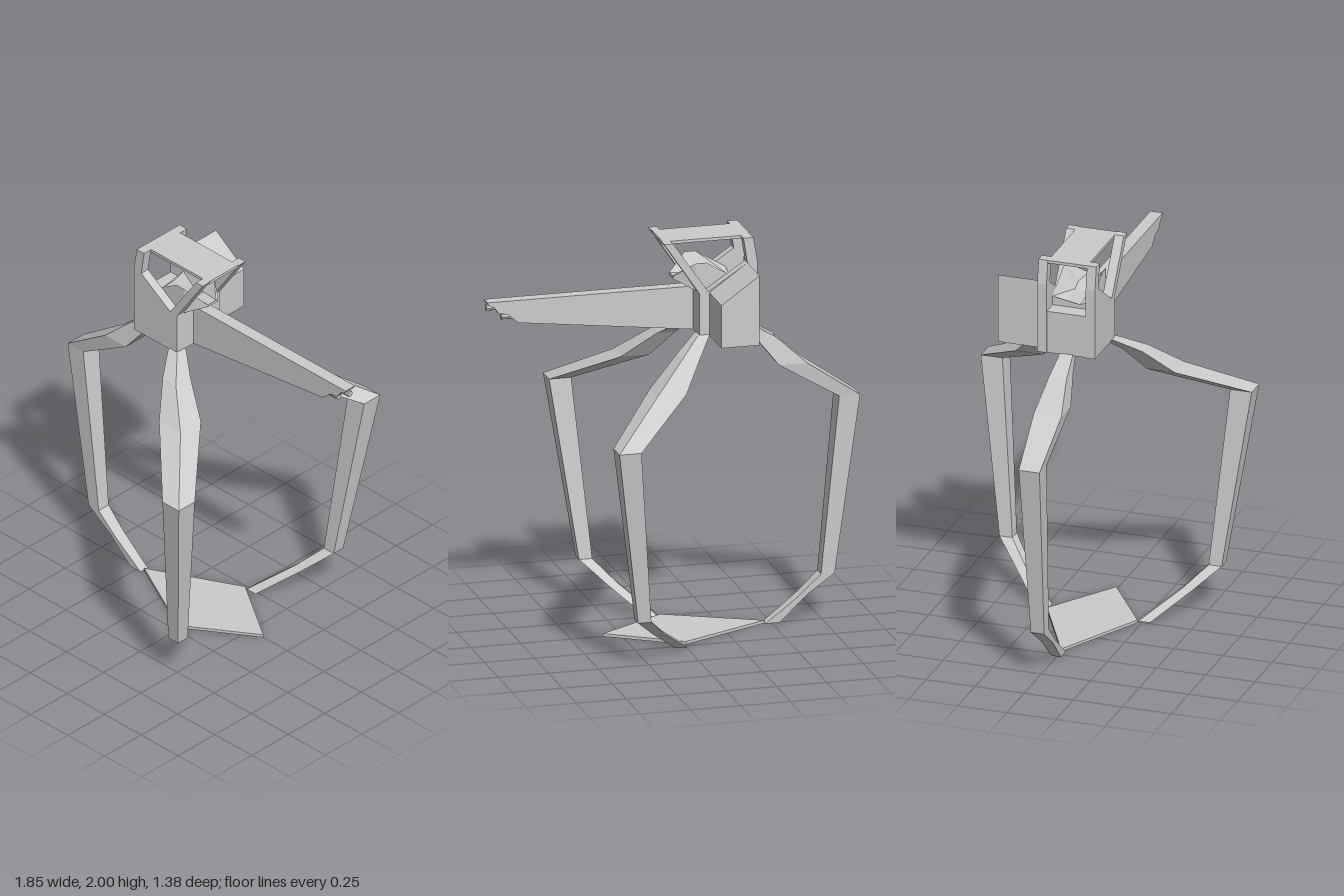
import * as THREE from 'three';

const mat = new THREE.MeshStandardMaterial({ color: 0xcccccc, flatShading: true, side: THREE.DoubleSide });

function add(parent, name, geometry, x = 0, y = 0, z = 0) {
  const mesh = new THREE.Mesh(geometry, mat);
  mesh.name = name;
  mesh.position.set(x, y, z);
  parent.add(mesh);
  return mesh;
}

// Box from its lower and upper corners
function block(parent, name, [x0, y0, z0], [x1, y1, z1]) {
  return add(parent, name, new THREE.BoxGeometry(x1 - x0, y1 - y0, z1 - z0),
    (x0 + x1) / 2, (y0 + y1) / 2, (z0 + z1) / 2);
}

// Outline in x, y pushed along z
function slab(points, z0, z1) {
  const shape = new THREE.Shape(points.map(([x, y]) => new THREE.Vector2(x, y)));
  return new THREE.ExtrudeGeometry(shape, { depth: z1 - z0, bevelEnabled: false }).translate(0, 0, z0);
}

// Capped skin through rings of corners
function loft(rings) {
  const n = rings[0].length, last = (rings.length - 1) * n, index = [];
  for (let i = 0; i < rings.length - 1; i++) {
    for (let k = 0; k < n; k++) {
      const a = i * n + k, b = i * n + (k + 1) % n;
      index.push(a, b, b + n, a, b + n, a + n);
    }
  }
  for (let k = 1; k < n - 1; k++) {
    index.push(0, k + 1, k, last, last + k, last + k + 1);
  }
  const g = new THREE.BufferGeometry();
  g.setAttribute('position', new THREE.Float32BufferAttribute(rings.flat(2), 3));
  g.setIndex(index);
  const flat = g.toNonIndexed();
  flat.computeVertexNormals();
  return flat;
}

// Leg through level rectangular sections: [x, y, z, halfX, halfZ], bottom to top
function leg(sections) {
  return loft(sections.map(([x, y, z, hx, hz]) => [
    [x + hx, y, z + hz], [x + hx, y, z - hz], [x - hx, y, z - hz], [x - hx, y, z + hz],
  ]));
}

export function createModel() {
  const model = new THREE.Group();
  model.name = 'tripodWalker';

  // Cab: body, open side frames and roof
  const cab = new THREE.Group();
  cab.name = 'cab';
  model.add(cab);
  block(cab, 'body', [-0.385, 1.525, -0.1], [-0.1, 1.74, 0.1]);
  const frame = [[-0.39, 1.525], [-0.1, 1.525], [-0.1, 1.74], [0.075, 2], [0.03, 2],
    [-0.145, 1.745], [-0.34, 1.875], [-0.32, 2], [-0.37, 2], [-0.39, 1.88]];
  add(cab, 'leftFrame', slab(frame, 0.1, 0.147));
  add(cab, 'rightFrame', slab(frame, -0.147, -0.1));
  block(cab, 'roof', [-0.37, 1.985, -0.1], [0.07, 2, 0.1]);

  // Trough-shaped cockpit tapering to the nose: [x, halfWidth, halfInner, bottom, rim, floor]
  const cockpit = [
    [-0.3, 0.1, 0.04, 1.72, 1.785, 1.76],
    [-0.148, 0.1, 0.04, 1.72, 1.877, 1.77],
    [-0.095, 0.1, 0.04, 1.74, 1.877, 1.79],
    [0, 0.035, 0.02, 1.788, 1.8, 1.8],
  ].map(([x, w, v, bottom, rim, floor]) => [
    [x, floor, v], [x, rim, w], [x, bottom, w], [x, bottom, -w], [x, rim, -w], [x, floor, -v],
  ]);
  add(cab, 'cockpit', loft(cockpit));

  // Slope-topped case on the rear side
  add(cab, 'sideCase', slab([[-0.34, 1.525], [-0.15, 1.525], [-0.15, 1.74], [-0.34, 1.875]], -0.365, -0.147));

  // Tapered arm with stepped end and two barrels
  const arm = new THREE.Group();
  arm.name = 'arm';
  model.add(arm);
  add(arm, 'armBeam', slab([[-0.12, 1.525], [-0.1, 1.525], [0.77, 1.63], [0.8, 1.655], [0.82, 1.675],
    [0.87, 1.685], [0.89, 1.715], [0.92, 1.73], [0.925, 1.743], [-0.12, 1.743]], -0.032, 0.032));
  for (const [x, y] of [[0.885, 1.71], [0.81, 1.66]]) {
    add(arm, 'barrel', new THREE.CylinderGeometry(0.016, 0.016, 0.08, 8).rotateZ(Math.PI / 2), x, y, 0);
  }

  // Three legs with square sections
  add(model, 'outerLeg', leg([
    [-0.5, 0.01, 0, 0.035, 0.025], [-0.65, 0.14, 0, 0.018, 0.03], [-0.772, 0.24, 0, 0.034, 0.034],
    [-0.876, 1.135, 0, 0.052, 0.053], [-0.59, 1.32, 0, 0.07, 0.07],
    [-0.463, 1.455, 0, 0.05, 0.045], [-0.362, 1.53, 0, 0.025, 0.033],
  ]));
  for (const s of [1, -1]) {
    add(model, s > 0 ? 'frontLeg' : 'backLeg', leg([
      [0.03, 0.01, s * 0.26, 0.03, 0.03], [0.185, 0.14, s * 0.425, 0.028, 0.028],
      [0.288, 0.24, s * 0.533, 0.033, 0.033], [0.393, 1.135, s * 0.635, 0.055, 0.055],
      [0.107, 1.32, s * 0.335, 0.072, 0.07], [-0.025, 1.455, s * 0.225, 0.045, 0.05],
      [-0.12, 1.53, s * 0.125, 0.03, 0.03],
    ]));
  }

  // Kite-shaped plate between the feet
  const plate = slab([[-0.465, 0], [-0.01, -0.23], [0.34, 0], [-0.01, 0.23]], 0, 0.015).rotateX(-Math.PI / 2);
  add(model, 'groundPlate', plate, 0, 0.005, 0);

  return model;
}
